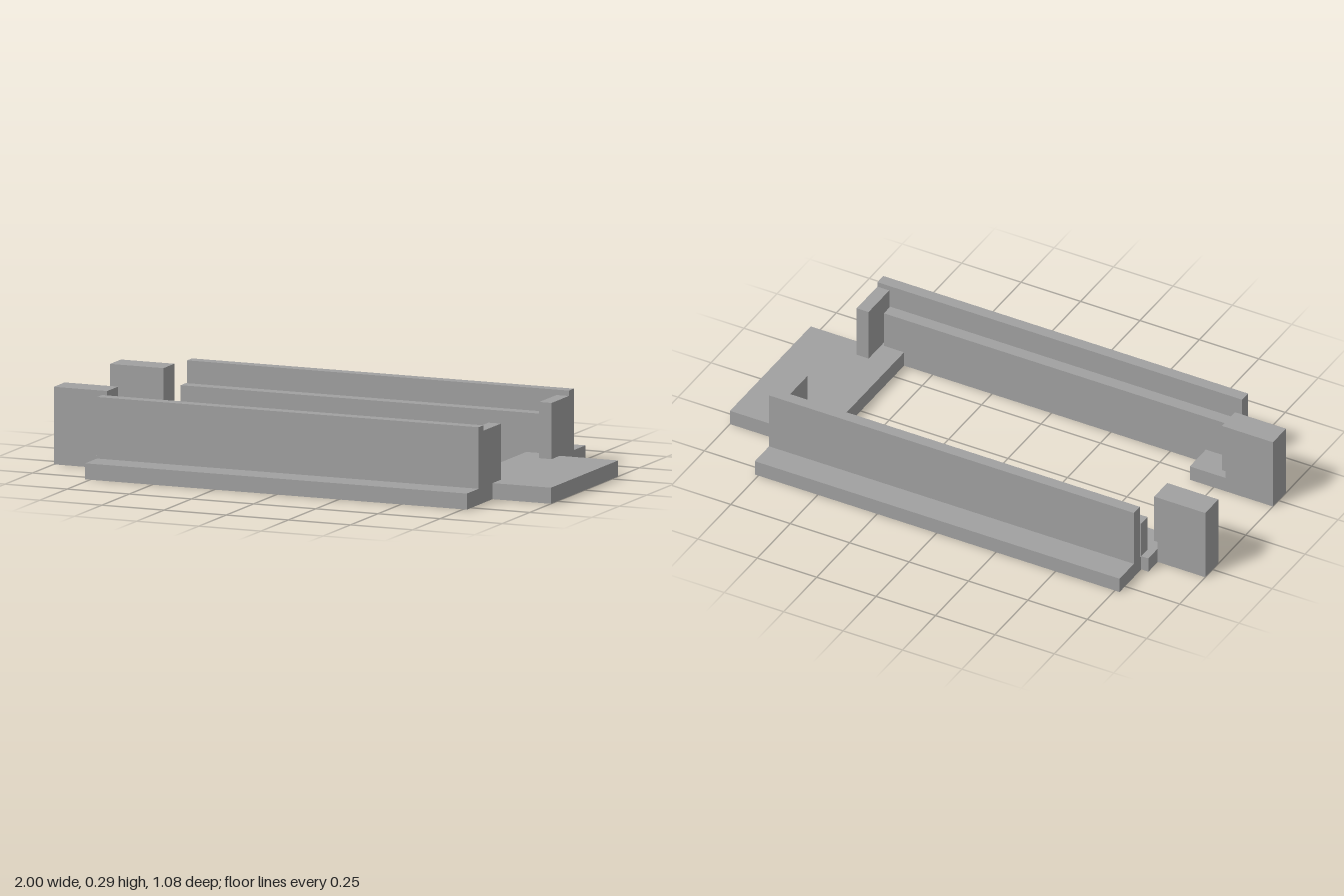
import * as THREE from 'three';

const BASE = 0.06; // base plate thickness

export function createModel() {
  const model = new THREE.Group();
  model.name = 'slidingFrame';
  const grey = new THREE.MeshStandardMaterial({ color: 0xa0a0a0 });
  grey.name = 'grey';

  // Box given by its limits on each axis
  function block(parent, name, [x0, x1], [y0, y1], [z0, z1]) {
    const mesh = new THREE.Mesh(new THREE.BoxGeometry(x1 - x0, y1 - y0, z1 - z0), grey);
    mesh.position.set((x0 + x1) / 2, (y0 + y1) / 2, (z0 + z1) / 2);
    mesh.name = name;
    parent.add(mesh);
  }

  // U-shaped base plate: half outline (x, z), mirrored across z = 0
  const half = [
    [0.62, 0.329], [-0.65, 0.329], [-0.65, 0.207], [-1, 0.207], [-1, 0.306],
    [-0.8, 0.306], [-0.8, 0.377], [-0.77, 0.377], [-0.77, 0.541],
    [0.765, 0.541], [0.765, 0.306], [1, 0.306],
  ];
  const mirrored = half.map(([x, z]) => [x, -z]).reverse();
  const outline = new THREE.Shape([...half, ...mirrored].map(([x, z]) => new THREE.Vector2(x, z)));
  const baseGeometry = new THREE.ExtrudeGeometry(outline, { depth: BASE, bevelEnabled: false });
  baseGeometry.rotateX(-Math.PI / 2);
  const base = new THREE.Mesh(baseGeometry, grey);
  base.name = 'basePlate';
  model.add(base);

  // Upright parts on each side
  for (const [side, s] of [['front', 1], ['back', -1]]) {
    const group = new THREE.Group();
    group.name = side + 'Side';
    const z = (a, b) => (s > 0 ? [a, b] : [-b, -a]);

    // Tall outer wall and lower inner wall with a narrow slot between
    block(group, side + 'OuterWall', [-0.77, 0.765], [BASE, 0.29], z(0.388, 0.433));
    block(group, side + 'InnerWall', [-0.77, 0.705], [BASE, 0.207], z(0.329, 0.377));
    // Stop post closing the slot
    block(group, side + 'StopPost', [0.715, 0.765], [BASE, 0.27], z(0.231, 0.388));
    // End block with an undercut lip
    block(group, side + 'EndBlock', [-1, -0.8], [BASE, 0.29], z(0.207, 0.306));
    block(group, side + 'EndBlockLip', [-0.8, -0.785], [0.09, 0.29], z(0.207, 0.306));
    model.add(group);
  }
  return model;
}
